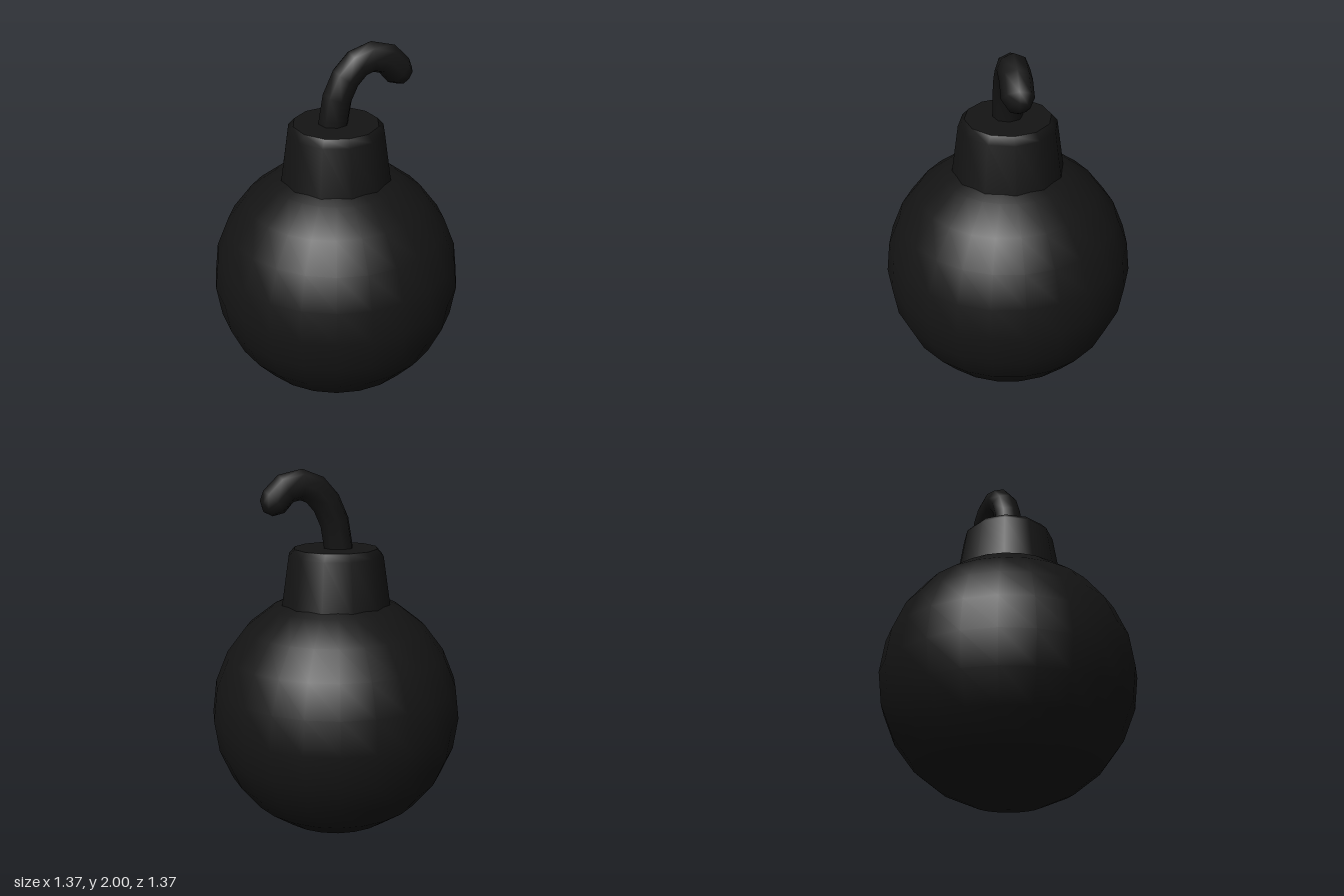
import * as THREE from 'three';

const SIDES = 8;

// Sweeps an eight-sided ring along [x, y, radius] stations in the z = 0 plane.
function sweep(stations) {
  const pos = [], index = [];
  stations.forEach(([x, y, r], i) => {
    const a = stations[Math.max(i - 1, 0)], b = stations[Math.min(i + 1, stations.length - 1)];
    const len = Math.hypot(b[0] - a[0], b[1] - a[1]);
    const nx = -(b[1] - a[1]) / len, ny = (b[0] - a[0]) / len;
    for (let j = 0; j < SIDES; j++) {
      const t = (j / SIDES) * Math.PI * 2;
      pos.push(x + nx * r * Math.cos(t), y + ny * r * Math.cos(t), r * Math.sin(t));
    }
  });
  for (let i = 0; i < stations.length - 1; i++) {
    for (let j = 0; j < SIDES; j++) {
      const k = (j + 1) % SIDES;
      const a = i * SIDES + j, b = i * SIDES + k, c = a + SIDES, d = b + SIDES;
      index.push(a, b, c, b, d, c);
    }
  }
  // rounded tip closes on a single point
  const [tx, ty] = stations[stations.length - 1];
  const last = (stations.length - 1) * SIDES, tip = pos.length / 3;
  pos.push(tx + 0.016, ty - 0.017, 0);
  for (let j = 0; j < SIDES; j++) index.push(last + j, last + ((j + 1) % SIDES), tip);
  const g = new THREE.BufferGeometry();
  g.setAttribute('position', new THREE.Float32BufferAttribute(pos, 3));
  g.setIndex(index);
  g.computeVertexNormals();
  return g;
}

export function createModel() {
  const group = new THREE.Group();
  const material = new THREE.MeshStandardMaterial({ color: 0x141414 });
  const add = (name, geometry, y = 0) => {
    const mesh = new THREE.Mesh(geometry, material);
    mesh.name = name;
    mesh.position.y = y;
    group.add(mesh);
  };

  // round body
  add('body', new THREE.SphereGeometry(0.684, 24, 12), 0.684);

  // tapered neck with a bevelled rim, sunk slightly into the body
  const profile = [[0.302, 1.265], [0.258, 1.553], [0.225, 1.59]]
    .map(([x, y]) => new THREE.Vector2(x, y));
  add('neck', new THREE.LatheGeometry(profile, 12));

  // flat top of the neck, with a sharp edge
  add('neckTop', new THREE.CircleGeometry(0.225, 12).rotateX(-Math.PI / 2), 1.59);

  // curled fuse
  add('fuse', sweep([
    [-0.018, 1.55, 0.079], [-0.012, 1.61, 0.079], [0.007, 1.725, 0.079], [0.051, 1.825, 0.079],
    [0.111, 1.893, 0.079], [0.184, 1.921, 0.079], [0.266, 1.903, 0.079],
    [0.329, 1.838, 0.079], [0.369, 1.806, 0.052],
  ]));

  return group;
}
